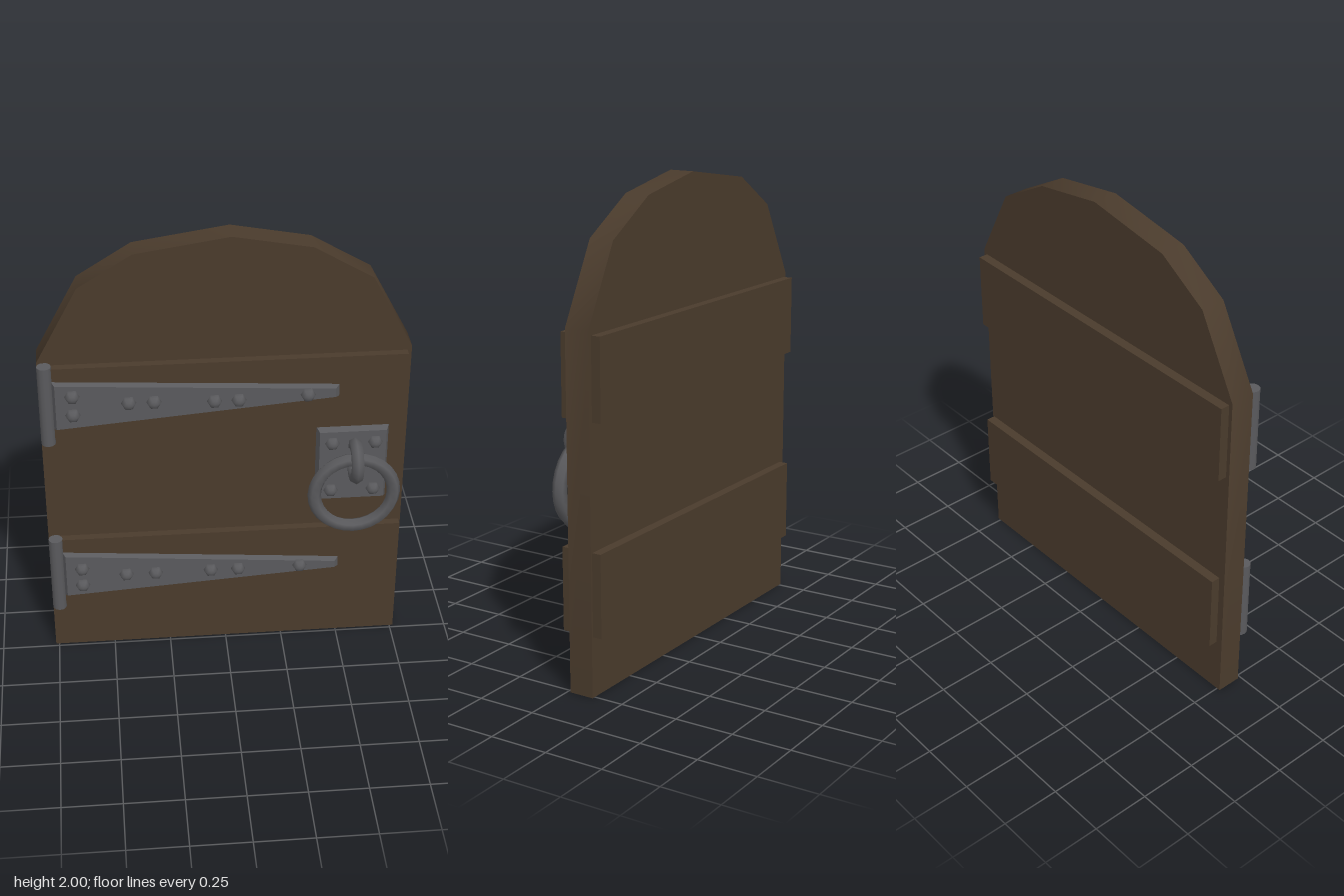
import * as THREE from 'three';
import { toCreasedNormals } from 'three/addons/utils/BufferGeometryUtils.js';

const wood = new THREE.MeshStandardMaterial({ color: 0x4a3b2c });
wood.name = 'dark wood';
const iron = new THREE.MeshStandardMaterial({ color: 0x5a5a5d });
iron.name = 'dark iron';

function add(parent, name, geometry, material, x = 0, y = 0, z = 0) {
  const mesh = new THREE.Mesh(geometry, material);
  mesh.name = name;
  mesh.position.set(x, y, z);
  parent.add(mesh);
  return mesh;
}

// Four-sided plate, tapering from x0 to x1, with its front face inset to form a bevel
function bevelPlate(x0, x1, [b0, t0], [b1, t1], zBack, zFront, insetX0, insetX1, insetY) {
  const g = new THREE.BoxGeometry(1, 1, 1).toNonIndexed();
  const p = g.attributes.position;
  for (let i = 0; i < p.count; i++) {
    const right = p.getX(i) > 0, top = p.getY(i) > 0, front = p.getZ(i) > 0;
    const k = front ? 1 : 0;
    const x = right ? x1 - insetX1 * k : x0 + insetX0 * k;
    const y = top ? (right ? t1 : t0) - insetY * k : (right ? b1 : b0) + insetY * k;
    p.setXYZ(i, x, y, front ? zFront : zBack);
  }
  g.computeVertexNormals();
  return g;
}

// Low domed bolt head, six-sided, facing forward
function bolt(parent, x, y, z) {
  const g = new THREE.SphereGeometry(0.032, 6, 3, 0, Math.PI * 2, 0, Math.PI / 2);
  g.rotateX(Math.PI / 2);
  add(parent, 'bolt', g, iron, x, y, z);
}

function hinge(name, barrelY, base, tip, tipX, bolts) {
  const group = new THREE.Group();
  group.name = name;
  const barrel = new THREE.CylinderGeometry(0.03, 0.03, 0.367, 12);
  add(group, 'hingeBarrel', barrel, iron, -0.735, barrelY, 0.014);
  add(group, 'hingeStrap',
    bevelPlate(-0.715, tipX, base, tip, 0.01, 0.043, 0.018, 0.025, 0.012), iron);
  for (const [x, y] of bolts) bolt(group, x, y, 0.041);
  return group;
}

export function createModel() {
  const door = new THREE.Group();
  door.name = 'archedDoor';

  // Door panel with a faceted arch
  const outline = [
    [-0.765, 0], [0.765, 0], [0.765, 1.475], [0.595, 1.795], [0.35, 1.94],
    [0.025, 2], [-0.365, 1.94], [-0.588, 1.8], [-0.765, 1.47],
  ];
  const shape = new THREE.Shape(outline.map(([x, y]) => new THREE.Vector2(x, y)));
  const panel = new THREE.ExtrudeGeometry(shape, { depth: 0.107, bevelEnabled: false });
  add(door, 'doorPanel', toCreasedNormals(panel, 0.6), wood, 0, 0, -0.121);

  // Cross battens passing through both faces
  for (const [name, x0, x1, y0, y1] of [
    ['upperBatten', -0.748, 0.747, 1.12, 1.457],
    ['lowerBatten', -0.735, 0.757, 0.255, 0.602],
  ]) {
    add(door, name, new THREE.BoxGeometry(x1 - x0, y1 - y0, 0.181), wood,
      (x0 + x1) / 2, (y0 + y1) / 2, -0.0705);
  }

  // Strap hinges
  door.add(hinge('upperHinge', 1.285, [1.17, 1.402], [1.268, 1.332], 0.475, [
    [-0.628, 1.338], [-0.628, 1.25], [-0.4, 1.297], [-0.297, 1.297],
    [-0.05, 1.288], [0.05, 1.288], [0.335, 1.298],
  ]));
  door.add(hinge('lowerHinge', 0.423, [0.305, 0.54], [0.385, 0.442], 0.5, [
    [-0.628, 0.46], [-0.628, 0.373], [-0.437, 0.42], [-0.31, 0.42],
    [-0.07, 0.42], [0.05, 0.42], [0.32, 0.42],
  ]));

  // Ring handle on its back plate
  const handle = new THREE.Group();
  handle.name = 'ringHandle';
  add(handle, 'handlePlate',
    bevelPlate(0.38, 0.692, [0.735, 1.103], [0.735, 1.103], -0.02, 0.016, 0.015, 0.015, 0.015), iron);
  for (const x of [0.448, 0.63]) for (const y of [0.795, 1.033]) bolt(handle, x, y, 0.012);
  const staple = new THREE.TorusGeometry(0.072, 0.028, 6, 20);
  staple.rotateY(Math.PI / 2);
  add(handle, 'handleStaple', staple, iron, 0.542, 0.97, 0.06);
  add(handle, 'pullRing', new THREE.TorusGeometry(0.17, 0.029, 6, 28), iron, 0.542, 0.807, 0.062);
  door.add(handle);

  return door;
}
